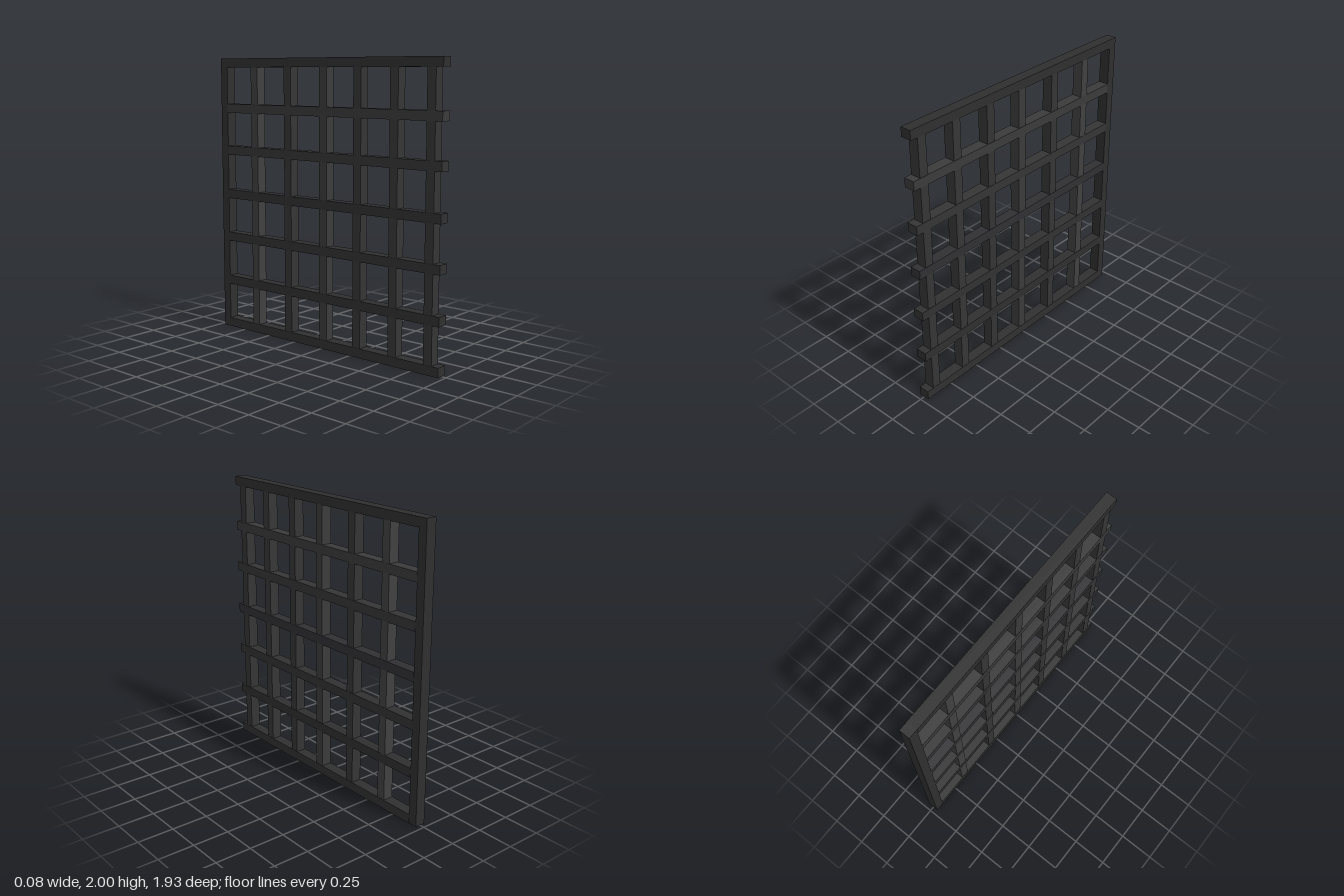
import * as THREE from 'three';

const BAR = 0.064;      // visible width of every bar
const FRONT = 0.965;    // free ends of the rails
const BACK = -0.965;    // outer face of the end post

// [centre, colour] for each bar
const RAILS = [
  [0.032, 0x303030], [0.36, 0x2e2f2e], [0.69, 0x313131], [1.01, 0x302f32],
  [1.333, 0x353535], [1.64, 0x3a3a3a], [1.968, 0x2f2f2f],
];
const UPRIGHTS = [
  [0.88, 0x353535], [0.6, 0x363636], [0.305, 0x343434],
  [0.012, 0x3b3b3b], [-0.31, 0x353535], [-0.63, 0x404040],
];

function bar(name, [w, h, d], [x, y, z], color) {
  const mesh = new THREE.Mesh(
    new THREE.BoxGeometry(w, h, d),
    new THREE.MeshStandardMaterial({ color })
  );
  mesh.name = name;
  mesh.position.set(x, y, z);
  return mesh;
}

export function createModel() {
  const model = new THREE.Group();
  model.name = 'latticeGrille';

  // Horizontal rails, butting against the end post and overhanging at the front
  const railEnd = BACK + BAR;
  const rails = new THREE.Group();
  rails.name = 'rails';
  RAILS.forEach(([y, color], i) => rails.add(
    bar(`rail${i + 1}`, [0.078, BAR, FRONT - railEnd], [0, y, (FRONT + railEnd) / 2], color)
  ));

  // Slightly thinner uprights passing through the rails
  const uprights = new THREE.Group();
  uprights.name = 'uprights';
  UPRIGHTS.forEach(([z, color], i) => uprights.add(
    bar(`upright${i + 1}`, [0.074, 1.98, BAR], [0, 1, z], color)
  ));

  // Full-height post closing the back edge
  const post = bar('endPost', [0.075, 2, BAR], [0, 1, BACK + BAR / 2], 0x2f2f2f);

  model.add(rails, uprights, post);
  return model;
}
